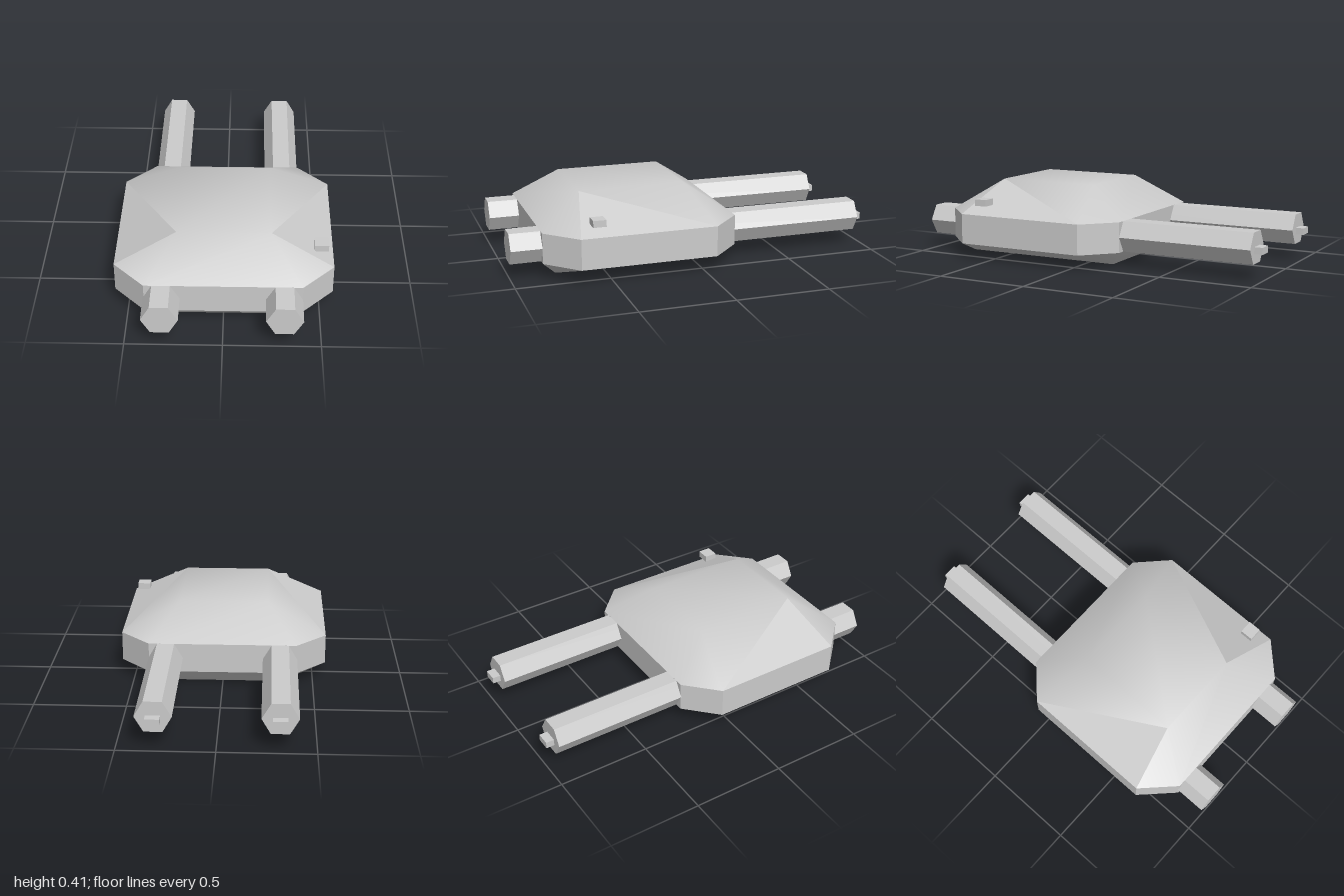
import * as THREE from 'three';
import { toCreasedNormals } from 'three/addons/utils/BufferGeometryUtils.js';

const material = new THREE.MeshStandardMaterial({ color: 0xcccccc });
const LOW = 0.083, HIGH = 0.247;

// Plan outline of the hull, starting front right and running round by +x
const outline = [[-0.405, 0.835], [0.405, 0.835], [0.57, 0.67], [0.57, -0.06],
  [0.405, -0.22], [-0.405, -0.22], [-0.57, -0.06], [-0.57, 0.67]];

const ringAt = (y) => outline.map(([x, z]) => [x, y, z]);
const rectAt = (y, x, front, back) => [[-x, y, front], [x, y, front], [x, y, back], [-x, y, back]];

function faceMesh(name, points, faces, crease = 0) {
  const geometry = new THREE.BufferGeometry();
  geometry.setAttribute('position', new THREE.Float32BufferAttribute(points.flat(), 3));
  geometry.setIndex(faces.flat());
  let shaded = geometry.toNonIndexed();
  shaded.computeVertexNormals();
  if (crease) shaded = toCreasedNormals(shaded, crease);
  const mesh = new THREE.Mesh(shaded, material);
  mesh.name = name;
  return mesh;
}

function box(name, size, position) {
  const mesh = new THREE.Mesh(new THREE.BoxGeometry(...size), material);
  mesh.name = name;
  mesh.position.set(...position);
  return mesh;
}

// Faces joining the eight-sided outline (0-7) to a rectangle (8-11)
const capFaces = [[0, 1, 9], [0, 9, 8], [1, 2, 9], [3, 10, 9], [3, 4, 10], [4, 5, 11],
  [4, 11, 10], [5, 6, 11], [6, 8, 11], [7, 0, 8], [8, 9, 10], [8, 10, 11]];
const sideFaces = [[2, 3, 9], [6, 7, 8]];
const flip = (faces) => faces.map(([a, b, c]) => [a, c, b]);

export function createModel() {
  const model = new THREE.Group();
  model.name = 'twinBarrelTurret';

  // Hull: softly shaded roof with flat side panels, upright wall, shallow belly
  const roof = [...ringAt(HIGH), ...rectAt(0.41, 0.245, 0.6, 0.02)];
  model.add(faceMesh('roof', roof, capFaces, 0.75));
  model.add(faceMesh('roofSidePanels', roof, sideFaces));

  const wallFaces = [];
  for (let i = 0; i < 8; i++) {
    const j = (i + 1) % 8;
    wallFaces.push([i, j, j + 8], [i, j + 8, i + 8]);
  }
  model.add(faceMesh('wall', [...ringAt(LOW), ...ringAt(HIGH)], wallFaces));

  const belly = [...ringAt(LOW), ...rectAt(0, 0.325, 0.755, -0.14)];
  model.add(faceMesh('belly', belly, flip([...capFaces, ...sideFaces]), 0.6));

  // Six-sided barrels through the hull, each with a small rear stub
  for (const x of [-0.316, 0.312]) {
    const geometry = new THREE.CylinderGeometry(0.0945, 0.0945, 1.955, 6).toNonIndexed();
    geometry.rotateY(Math.PI / 2).rotateX(Math.PI / 2);
    geometry.computeVertexNormals();
    const barrel = new THREE.Mesh(geometry, material);
    barrel.name = x < 0 ? 'rightBarrel' : 'leftBarrel';
    barrel.position.set(x, 0.165, 0.0225);
    model.add(barrel);
    model.add(box('barrelStub', [0.075, 0.036, 0.05], [x, 0.154, -0.975]));
  }

  // Small sensor block above the left side
  model.add(box('sensor', [0.073, 0.036, 0.07], [0.506, 0.312, 0.565]));
  return model;
}
